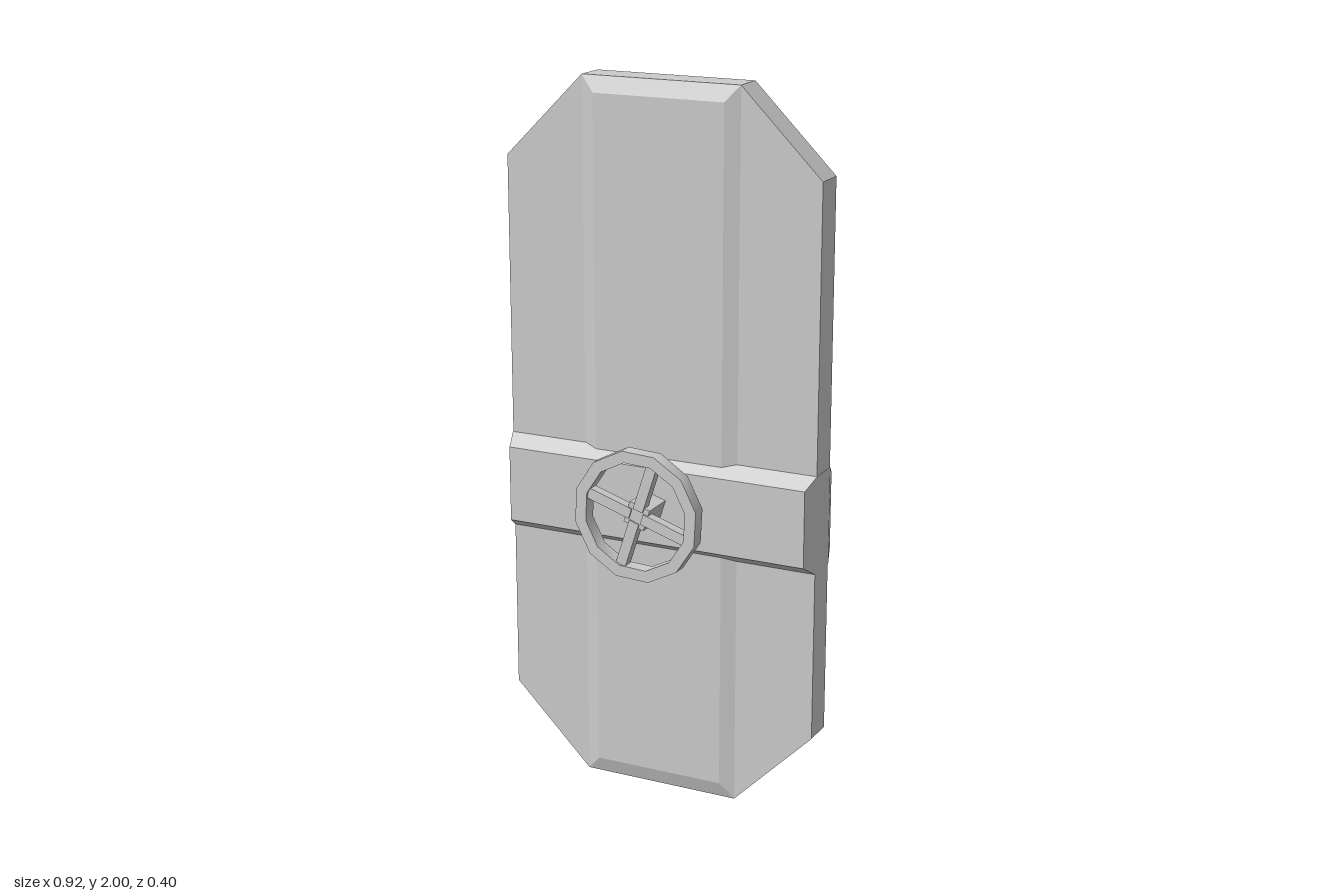
import * as THREE from 'three';
import { toCreasedNormals } from 'three/addons/utils/BufferGeometryUtils.js';

const material = new THREE.MeshStandardMaterial({ color: 0xcccccc });
const flat = new THREE.MeshStandardMaterial({ color: 0xcccccc, flatShading: true });

function part(name, geometry, mat = flat) {
  const mesh = new THREE.Mesh(geometry, mat);
  mesh.name = name;
  return mesh;
}

// Box whose front and back faces shrink by insetX / insetY beyond a straight middle
function bevelledSlab(w, h, midZ, faceZ, insetX, insetY) {
  const g = new THREE.BoxGeometry(w, h, 2, 1, 1, 3);
  const p = g.attributes.position;
  for (let i = 0; i < p.count; i++) {
    const z = p.getZ(i);
    if (Math.abs(z) > 0.9) {
      p.setX(i, p.getX(i) - Math.sign(p.getX(i)) * insetX);
      p.setY(i, p.getY(i) - Math.sign(p.getY(i)) * insetY);
      p.setZ(i, Math.sign(z) * faceZ);
    } else p.setZ(i, Math.sign(z) * midZ);
  }
  return g;
}

// Twelve-sided rim with four spokes, centred on its own axis
function createWheel() {
  const wheel = new THREE.Group();
  const profile = [[0.152, -0.021], [0.185, -0.021], [0.185, 0.021], [0.152, 0.021], [0.152, -0.021]]
    .map(([r, y]) => new THREE.Vector2(r, y));
  const rim = new THREE.LatheGeometry(profile, 12);
  rim.rotateX(Math.PI / 2).rotateZ(Math.PI / 2);
  wheel.add(part('wheelRim', toCreasedNormals(rim, 0.6), material));
  for (let i = 0; i < 4; i++) {
    const spoke = new THREE.BoxGeometry(0.14, 0.03, 0.03);
    spoke.translate(0.088, 0, 0).rotateZ(i * Math.PI / 2);
    wheel.add(part('wheelSpoke', spoke));
  }
  return wheel;
}

export function createModel() {
  const door = new THREE.Group();
  door.name = 'hatchDoor';

  // Door plate with cut corners
  const outline = new THREE.Shape([
    [-0.23, 0], [0.23, 0], [0.46, 0.23], [0.46, 1.77],
    [0.23, 2], [-0.23, 2], [-0.46, 1.77], [-0.46, 0.23],
  ].map(([x, y]) => new THREE.Vector2(x, y)));
  const plate = new THREE.ExtrudeGeometry(outline, { depth: 0.09, bevelEnabled: false });
  plate.translate(0, 0, -0.045);
  door.add(part('doorPlate', plate));

  // Raised centre panel on both faces
  const panel = part('centrePanel', bevelledSlab(0.46, 2, 0.045, 0.06, 0.04, 0.045));
  panel.position.y = 1;
  door.add(panel);

  // Crossbar wrapped around the door
  const bar = part('crossbar', bevelledSlab(0.922, 0.275, 0.046, 0.093, 0.015, 0.03));
  bar.position.y = 0.848;
  door.add(bar);

  // Shaft through the door with a handwheel at each end
  const lock = new THREE.Group();
  lock.name = 'lock';
  lock.position.y = 0.85;
  lock.rotation.z = -Math.PI / 10;
  lock.add(part('shaft', new THREE.BoxGeometry(0.062, 0.062, 0.38)));
  for (const side of [1, -1]) {
    const wheel = createWheel();
    wheel.name = side > 0 ? 'frontWheel' : 'backWheel';
    wheel.position.z = side * 0.18;
    lock.add(wheel);
  }
  door.add(lock);
  return door;
}
